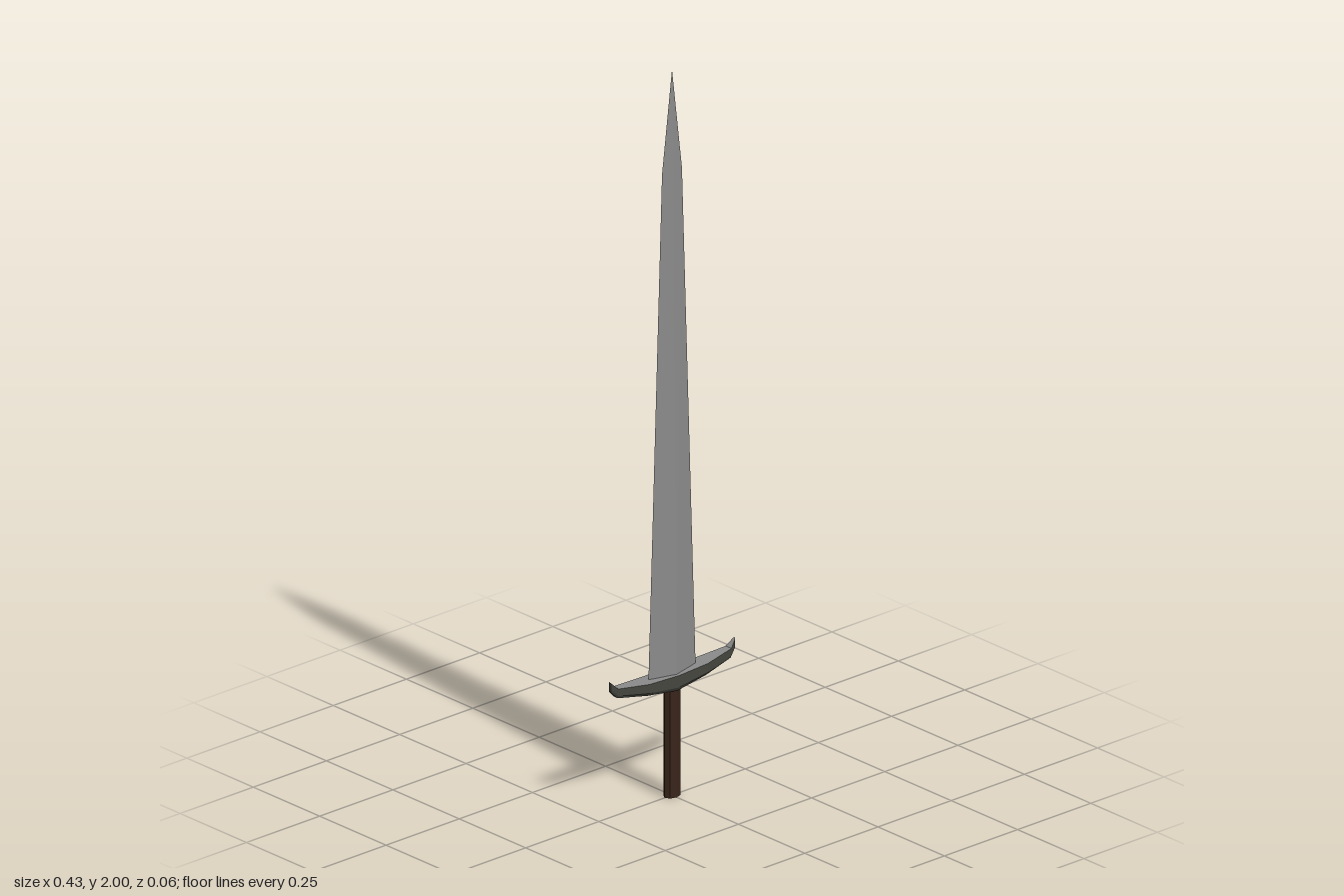
import * as THREE from 'three';

const mat = (name, color) => {
  const m = new THREE.MeshStandardMaterial({ color });
  m.name = name;
  return m;
};

// Flat-shaded skin over a row of equal-length cross-sections
function loft(rings, closed = true) {
  const pos = [];
  for (let r = 0; r < rings.length - 1; r++) {
    const a = rings[r], b = rings[r + 1], n = a.length;
    for (let i = 0; i < (closed ? n : n - 1); i++) {
      const j = (i + 1) % n;
      for (const p of [a[i], a[j], b[j], a[i], b[j], b[i]]) pos.push(...p);
    }
  }
  const g = new THREE.BufferGeometry();
  g.setAttribute('position', new THREE.Float32BufferAttribute(pos, 3));
  g.computeVertexNormals();
  return g;
}

export function createModel() {
  const group = new THREE.Group();
  group.name = 'sword';
  const steel = mat('steel', 0x8a8a8a);
  const darkIron = mat('darkIron', 0x45453f);
  const wood = mat('darkWood', 0x38241a);

  const add = (name, geometry, material) => {
    const mesh = new THREE.Mesh(geometry, material);
    mesh.name = name;
    group.add(mesh);
    return mesh;
  };

  // Blade: diamond sections [height, half width, half depth]
  const blade = [[0.32, 0.081, 0.018], [1.72, 0.034, 0.006], [2, 0, 0]]
    .map(([y, w, d]) => [[0, y, d], [w, y, 0], [0, y, -d], [-w, y, 0]]);
  add('blade', loft(blade), steel);

  // Crossguard: half stations [x, bottom, top, half depth], mirrored to both arms
  const half = [
    [0, 0.295, 0.339, 0.028], [0.1, 0.309, 0.342, 0.025],
    [0.193, 0.326, 0.352, 0.011], [0.212, 0.346, 0.371, 0.004],
    [0.214, 0.372, 0.374, 0],
  ];
  const stations = [
    ...half.slice(1).reverse().map(([x, ...rest]) => [-x, ...rest]),
    ...half,
  ];
  const guard = stations.map(([x, bottom, top, d]) => {
    const low = bottom + (top - bottom) * 0.25;
    return [
      [x, top, d], [x, low, d], [x, bottom, d * 0.75],
      [x, bottom, -d * 0.75], [x, low, -d], [x, top, -d],
    ];
  });
  add('guardSides', loft(guard, false), darkIron);
  add('guardTop', loft(guard.map((ring) => [ring[5], ring[0]]), false), steel);

  // Grip: flattened eight-sided bar
  const grip = new THREE.CylinderGeometry(1, 1, 0.31, 8).toNonIndexed();
  grip.scale(0.025, 1, 0.018);
  grip.computeVertexNormals();
  add('grip', grip, wood).position.y = 0.155;

  return group;
}
